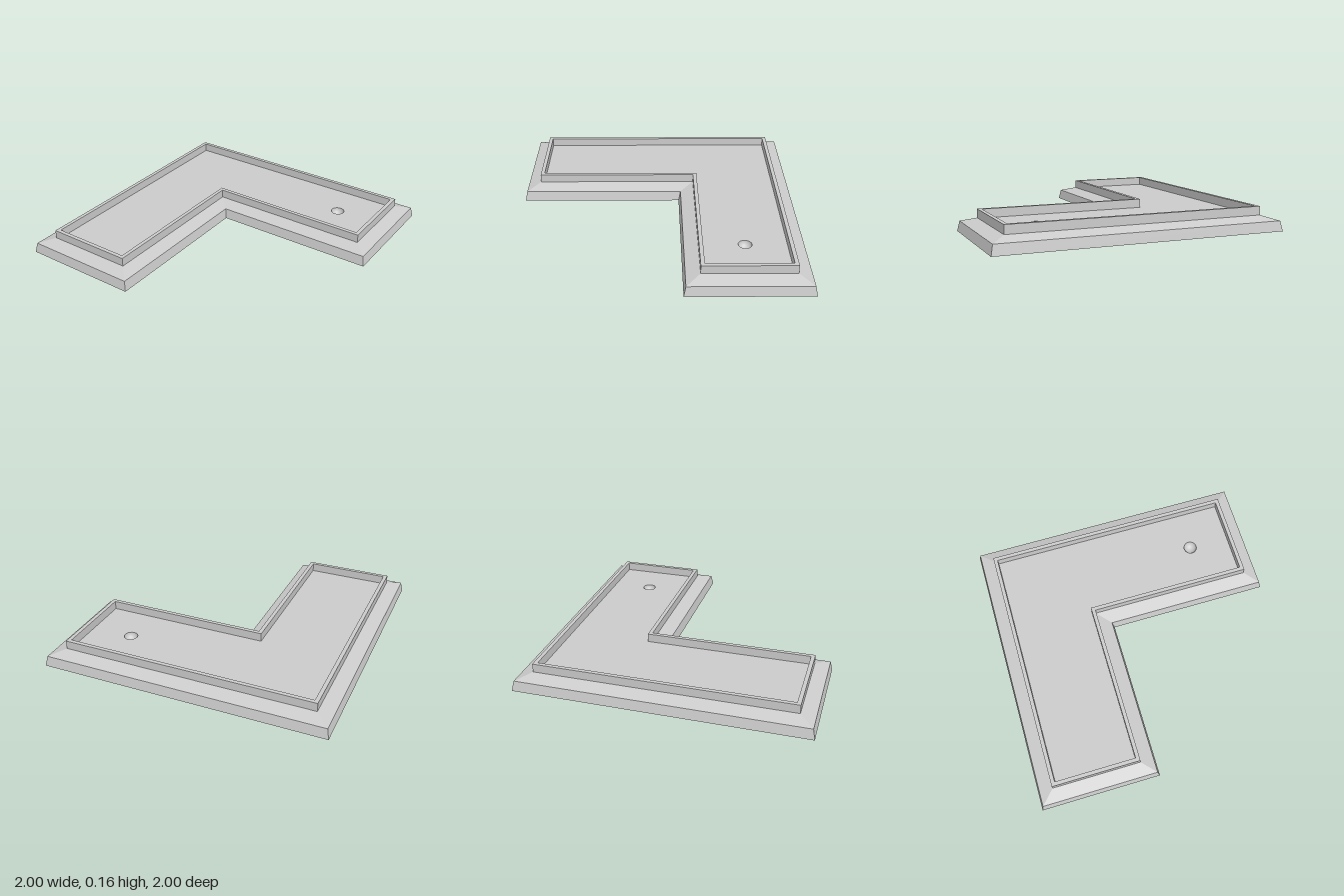
import * as THREE from 'three';

const material = new THREE.MeshStandardMaterial({ color: 0xcccccc, side: THREE.DoubleSide });

// L-shaped outline [x, z], moved inward by d
function outline(d) {
  const o = 1 - d, c = -0.155 - d;
  return [[-o, o], [c, o], [c, c], [o, c], [o, -o], [-o, -o]];
}

// Sweep a profile of [inset, height] pairs around the L
function sweep(name, profile) {
  const pos = [];
  for (let i = 0; i < profile.length - 1; i++) {
    const [d0, y0] = profile[i], [d1, y1] = profile[i + 1];
    const lo = outline(d0), hi = outline(d1);
    for (let k = 0; k < lo.length; k++) {
      const n = (k + 1) % lo.length;
      const a = [lo[k][0], y0, lo[k][1]], b = [lo[n][0], y0, lo[n][1]];
      const c = [hi[n][0], y1, hi[n][1]], e = [hi[k][0], y1, hi[k][1]];
      pos.push(...a, ...b, ...c, ...a, ...c, ...e);
    }
  }
  const geometry = new THREE.BufferGeometry();
  geometry.setAttribute('position', new THREE.Float32BufferAttribute(pos, 3));
  geometry.computeVertexNormals();
  const mesh = new THREE.Mesh(geometry, material);
  mesh.name = name;
  return mesh;
}

export function createModel() {
  const group = new THREE.Group();
  group.name = 'cornerTray';
  const floorY = 0.1, inset = 0.137, drain = { x: 0.57, z: -0.58, r: 0.047 };

  // Tapered skirt and sloping flange, open underneath
  group.add(sweep('skirt', [[0, 0], [0.014, 0.07], [0.11, 0.1]]));

  // Upright rim, folded over and down to the floor
  group.add(sweep('rim', [[0.11, 0.1], [0.11, 0.16], [inset, 0.16], [inset, floorY]]));

  // Floor with a round drain opening
  const shape = new THREE.Shape(outline(inset).map(([x, z]) => new THREE.Vector2(x, -z)));
  shape.holes.push(new THREE.Path().absarc(drain.x, -drain.z, drain.r, 0, Math.PI * 2, true));
  const floor = new THREE.Mesh(new THREE.ShapeGeometry(shape, 16).rotateX(-Math.PI / 2), material);
  floor.name = 'floor';
  floor.position.y = floorY;
  group.add(floor);

  // Hemispherical drain bowl below the floor
  const bowl = new THREE.Mesh(
    new THREE.SphereGeometry(drain.r, 32, 12, 0, Math.PI * 2, Math.PI / 2, Math.PI / 2), material);
  bowl.name = 'drainBowl';
  bowl.position.set(drain.x, floorY, drain.z);
  group.add(bowl);

  return group;
}
